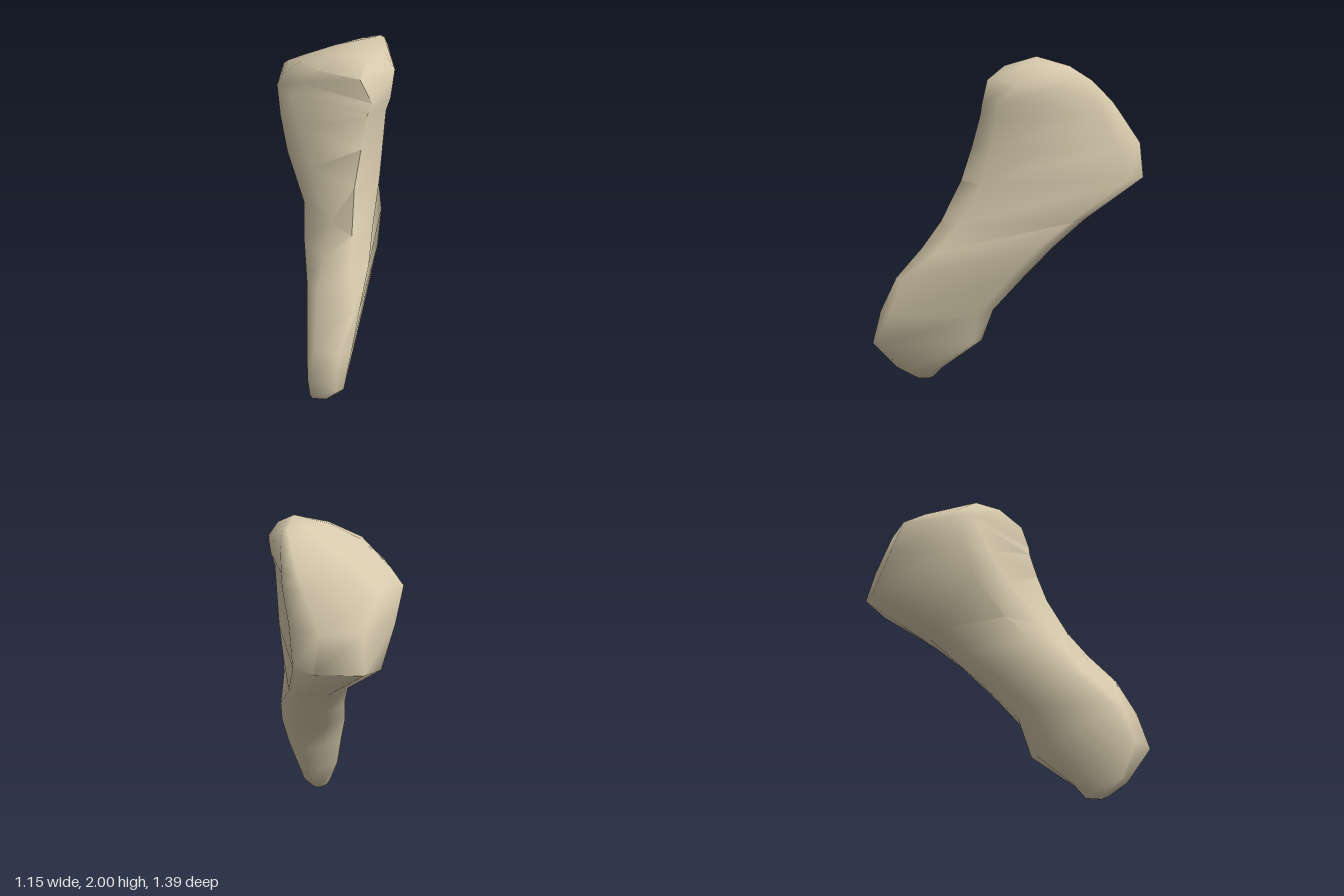
import * as THREE from 'three';
import { toCreasedNormals } from 'three/addons/utils/BufferGeometryUtils.js';

// Horizontal sections, each a box whose corners are cut away:
// y, xMin, xMax, zMin, zMax, front flank (x at zMax, z at xMax),
// back flank (x at zMin, z at xMin), bevel of the front edge, bevel of the rear edge
const SECTIONS = [
  [0.02, -0.47, -0.33, 0.36, 0.46, -0.38, 0.41, -0.42, 0.42, 0.4, 0.4],
  [0.09, -0.54, -0.27, 0.31, 0.55, -0.39, 0.44, -0.40, 0.47, 0.4, 0.4],
  [0.29, -0.58, -0.07, 0.17, 0.70, -0.46, 0.27, -0.32, 0.51, 0.6, 0.3],
  [0.50, -0.53, 0.00, 0.10, 0.66, -0.38, 0.30, -0.28, 0.44, 0.42, 0.35],
  [0.73, -0.40, 0.15, -0.07, 0.62, -0.30, 0.20, -0.13, 0.25, 0.5, 0.4],
  [0.90, -0.31, 0.26, -0.19, 0.49, -0.14, 0.09, 0.01, 0.09, 0.25, 0.4],
  [1.06, -0.22, 0.37, -0.31, 0.40, -0.05, -0.10, 0.11, -0.04, 0.15, 0.4],
  [1.30, -0.20, 0.575, -0.69, 0.31, 0.06, -0.35, 0.28, -0.24, 0.33, 0.55],
  [1.50, -0.19, 0.54, -0.65, 0.28, 0.10, -0.29, 0.13, -0.32, 0.48, 0.4],
  [1.68, -0.18, 0.50, -0.61, 0.26, 0.13, -0.20, 0.02, -0.36, 0.58, 0.6],
  [1.75, -0.16, 0.485, -0.49, 0.27, 0.15, -0.18, -0.02, -0.33, 0.6, 0.6],
  [1.87, -0.12, 0.425, -0.26, 0.20, 0.23, -0.11, -0.04, -0.19, 0.33, 0.45],
  [1.95, 0.00, 0.35, -0.11, 0.15, 0.20, -0.05, 0.05, -0.05, 0.4, 0.4],
];
const SIDES = 8;
const mix = THREE.MathUtils.lerp;

// Eight corners of one section, running from the rear edge round the front
function section([y, x0, x1, z0, z1, frontX, frontZ, backX, backZ, bevel, cut]) {
  return [
    [x1, mix(z0, frontZ, cut)],
    [x1, frontZ],
    [frontX, z1],
    [mix(x0, frontX, bevel), z1],
    [x0, mix(z1, backZ, Math.sqrt(bevel))],
    [x0, backZ],
    [backX, z0],
    [mix(x1, backX, cut), z0],
  ].map(([x, z]) => [x, y, z]);
}

// Skin the sections and close both ends with a fan
function skin() {
  const points = SECTIONS.flatMap(section);
  const bottom = points.push([-0.42, 0, 0.42]) - 1;
  const top = points.push([0.2, 2, 0.02]) - 1;
  const last = (SECTIONS.length - 1) * SIDES;
  const index = [];
  for (let j = 0; j < SIDES; j++) {
    const k = (j + 1) % SIDES;
    for (let r = 0; r < last; r += SIDES) {
      const a = r + j, b = r + k, c = a + SIDES, d = b + SIDES;
      index.push(a, c, b, b, c, d);
    }
    index.push(bottom, j, k, top, last + k, last + j);
  }
  const geometry = new THREE.BufferGeometry();
  geometry.setAttribute('position', new THREE.Float32BufferAttribute(points.flat(), 3));
  geometry.setIndex(index);
  return toCreasedNormals(geometry, 1.25);
}

export function createModel() {
  const stone = new THREE.MeshStandardMaterial({ name: 'paleStone', color: 0xd6c9ac });
  const body = new THREE.Mesh(skin(), stone);
  body.name = 'leaningStone';
  const group = new THREE.Group();
  group.name = 'stone';
  group.add(body);
  return group;
}
